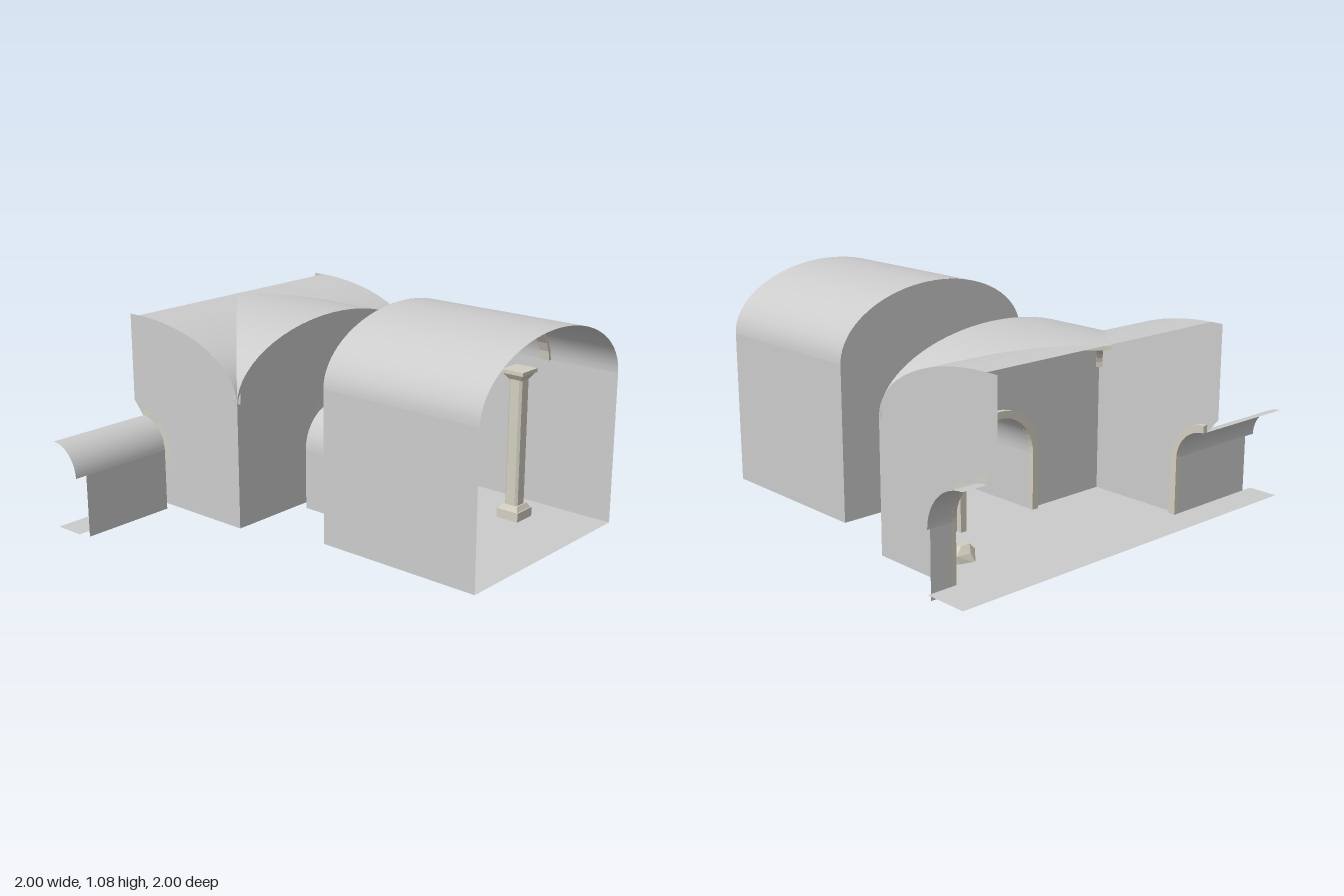
import * as THREE from 'three';
import { ParametricGeometry } from 'three/addons/geometries/ParametricGeometry.js';
import { ConvexGeometry } from 'three/addons/geometries/ConvexGeometry.js';

const CX = 0.21;               // shared axis of hall, corridor and crossing
const FLOOR = 0.03;
const SPRING = 0.305;          // spring line of all doors and passages
const CZ = -0.94, HALF = 0.665; // centre and half width of the cross vault
const NEAR = CZ + HALF;
const V = (x, y) => new THREE.Vector2(x, y);

export function createModel() {
  const group = new THREE.Group();
  const plain = new THREE.MeshStandardMaterial({ color: 0xcccccc, side: THREE.DoubleSide });
  const stone = new THREE.MeshStandardMaterial({ color: 0xd2cec0, flatShading: true });

  function add(name, geometry, material = plain, parent = group) {
    const mesh = new THREE.Mesh(geometry, material);
    mesh.name = name;
    parent.add(mesh);
    return mesh;
  }

  // Curved or flat sheet from a rule (u, v) -> [x, y, z]
  function sheet(name, rule, nu = 1, nv = 1) {
    const g = new ParametricGeometry((u, v, p) => p.set(...rule(u, v)), nu, nv);
    g.computeVertexNormals();
    return add(name, g);
  }
  const floor = (name, x0, x1, z0, z1) =>
    sheet(name, (u, v) => [x0 + (x1 - x0) * u, FLOOR, z1 + (z0 - z1) * v]);
  const sideWall = (name, x, z0, z1, y0, y1) =>
    sheet(name, (u, v) => [x, y0 + (y1 - y0) * v, z0 + (z1 - z0) * u]);

  // Points on an elliptical arc
  function arc(cx, cy, rx, ry, a0, a1, n = 28) {
    return Array.from({ length: n + 1 }, (_, i) => {
      const a = a0 + (a1 - a0) * i / n;
      return V(cx + rx * Math.cos(a), cy + ry * Math.sin(a));
    });
  }

  // End wall with a vaulted top and an arched doorway
  function endWall(name, z, half, spring, rise) {
    const r = 0.205;
    const shape = new THREE.Shape([
      V(CX + r, FLOOR), V(CX + half, FLOOR),
      ...arc(CX, spring, half, rise, 0, Math.PI),
      V(CX - half, FLOOR), V(CX - r, FLOOR),
      ...arc(CX, SPRING, r, r, Math.PI, 0),
    ]);
    add(name, new THREE.ShapeGeometry(shape).translate(0, 0, z));
  }

  // Curved band of constant thickness; optional legs run down to "base"
  function band(rx, ry, t, a0, a1, depth, base) {
    const outer = arc(0, 0, rx + t, ry + t, a0, a1, 20);
    const inner = arc(0, 0, rx, ry, a0, a1, 20);
    if (base !== undefined) for (const [pts, r] of [[outer, rx + t], [inner, rx]]) {
      if (a0 === 0) pts.unshift(V(r, base));
      if (a1 === Math.PI) pts.push(V(-r, base));
    }
    return new THREE.ExtrudeGeometry(new THREE.Shape([...outer, ...inner.reverse()]),
      { depth, bevelEnabled: false });
  }
  const legBase = FLOOR - SPRING;

  // Barrel-vaulted front hall, open at the front
  const hw = 0.545, hy = 0.77, hr = 0.31, hz = 0.15;
  floor('hallFloor', CX - hw, CX + hw, hz, 1);
  for (const s of [-1, 1]) sideWall('hallSideWall', CX + s * hw, hz, 1, FLOOR, hy);
  sheet('hallVault', (u, v) => [CX + hw * Math.cos(Math.PI * u), hy + hr * Math.sin(Math.PI * u),
    hz + (1 - hz) * v], 36, 1);
  endWall('hallBackWall', hz, hw, hy, hr);
  add('hallDoorTrim', band(0.205, 0.205, 0.035, 0, Math.PI, 0.025, legBase), stone)
    .position.set(CX, SPRING, hz);
  add('hallRib', band(hw - 0.018, hr - 0.018, 0.016, 0, Math.PI, 0.05), stone)
    .position.set(CX, hy, 0.585);

  // Two columns: stepped base, chamfered shaft and flared capital
  for (const x of [-0.105, 0.525]) {
    const column = new THREE.Group();
    column.name = 'column';
    column.position.set(x, 0, 0.61);
    group.add(column);
    const slab = (name, w, y0, y1) =>
      add(name, new THREE.BoxGeometry(w, y1 - y0, w).translate(0, (y0 + y1) / 2, 0), stone, column);
    slab('columnPlinth', 0.12, 0.028, 0.075);
    add('columnBase', new THREE.CylinderGeometry(0.06, 0.078, 0.025, 4)
      .rotateY(Math.PI / 4).translate(0, 0.0875, 0), stone, column);
    const h = 0.036, c = 0.025;
    const section = new THREE.Shape([V(h, -c), V(h, c), V(c, h), V(-c, h),
      V(-h, c), V(-h, -c), V(-c, -h), V(c, -h)]);
    add('columnShaft', new THREE.ExtrudeGeometry(section, { depth: 0.63, bevelEnabled: false })
      .rotateX(-Math.PI / 2).translate(0, 0.1, 0), stone, column);
    add('columnCapital', new THREE.CylinderGeometry(0.078, 0.05, 0.03, 4)
      .rotateY(Math.PI / 4).translate(0, 0.737, 0), stone, column);
    slab('columnAbacus', 0.12, 0.752, 0.77);
  }

  // Corridor between the hall and the crossing
  const cr = 0.205;
  floor('corridorFloor', CX - cr, CX + cr, NEAR, hz);
  for (const s of [-1, 1]) sideWall('corridorWall', CX + s * cr, NEAR, hz, 0, SPRING);
  sheet('corridorVault', (u, v) => [CX + cr * Math.cos(Math.PI * u),
    SPRING + cr * Math.sin(Math.PI * u), NEAR + (hz - NEAR) * v], 24, 1);

  // Half of a cross-vaulted room, cut open at the back
  const vy = 0.64, vr = 0.32;
  floor('crossingFloor', CX - HALF, CX + HALF, CZ, NEAR);
  endWall('crossingFrontWall', NEAR, HALF, vy, vr);
  add('crossingDoorTrim', band(0.205, 0.205, 0.035, 0, Math.PI, 0.025, legBase), stone)
    .position.set(CX, SPRING, NEAR - 0.025);
  sheet('frontVault', (u, v) => {
    const a = Math.PI * u, x = HALF * Math.cos(a), d = Math.abs(x);
    return [CX + x, vy + vr * Math.sin(a), CZ + d + (HALF - d) * v];
  }, 40, 6);
  for (const s of [-1, 1]) {
    sheet('sideVault', (u, v) => {
      const a = Math.PI / 2 * u, d = HALF * Math.cos(a), w = s > 0 ? v : 1 - v;
      return [CX + s * (d + (HALF - d) * w), vy + vr * Math.sin(a), CZ + d];
    }, 20, 6);
    // Diagonal rib under the groin
    add('groinRib', band(HALF * Math.SQRT2 - 0.02, vr - 0.018, 0.017, 0, Math.PI / 2, 0.03)
      .translate(0, 0, -0.015), stone)
      .position.set(CX, vy, CZ);
    group.children.at(-1).rotation.y = s > 0 ? -Math.PI / 4 : -Math.PI * 3 / 4;
  }

  // Side walls with half doorways, and the cut passages beyond them
  for (const { s, r, wallEnd, end } of [
    { s: 1, r: 0.21, wallEnd: 0.985, end: 1 },
    { s: -1, r: 0.15, wallEnd: -0.94, end: -1 },
  ]) {
    const x = CX + s * HALF;
    const wall = new THREE.Shape([
      V(NEAR, FLOOR), ...arc(CZ, vy, HALF, vr, 0, Math.PI / 2),
      V(-1, vy + vr), V(-1, 0.525),
      ...arc(CZ, SPRING, r, r, Math.PI / 2, 0, 16), V(CZ + r, FLOOR),
    ]);
    add('crossingSideWall', new THREE.ShapeGeometry(wall).rotateY(-Math.PI / 2).translate(x, 0, 0));
    add('sideDoorTrim', band(r, r, 0.035, 0, Math.PI / 2, 0.025, legBase)
      .rotateY(-Math.PI / 2), stone)
      .position.set(s > 0 ? x : x + 0.025, SPRING, CZ);
    floor('passageFloor', Math.min(x, end), Math.max(x, end), CZ, CZ + r);
    sheet('passageWall', (u, v) => [x + (wallEnd - x) * u, SPRING * v, CZ + r]);
    sheet('passageVault', (u, v) => {
      const a = Math.PI / 2 * u;
      return [x + (end - x) * v, SPRING + r * Math.sin(a), CZ + r * Math.cos(a)];
    }, 14, 1);
  }

  // Faceted boulder on the crossing floor
  const rock = [];
  for (const [y, r, n] of [[-0.005, 0.095, 7], [0.035, 0.08, 6], [0.065, 0.04, 4]])
    for (let i = 0; i < n; i++) {
      const a = i / n * Math.PI * 2 + y * 9, k = r * (0.85 + 0.15 * Math.sin(i * 2.7 + y * 40));
      rock.push(new THREE.Vector3(k * Math.cos(a), y, 0.75 * k * Math.sin(a)));
    }
  add('boulder', new ConvexGeometry(rock), stone).position.set(0.65, FLOOR, -0.53);

  return group;
}
